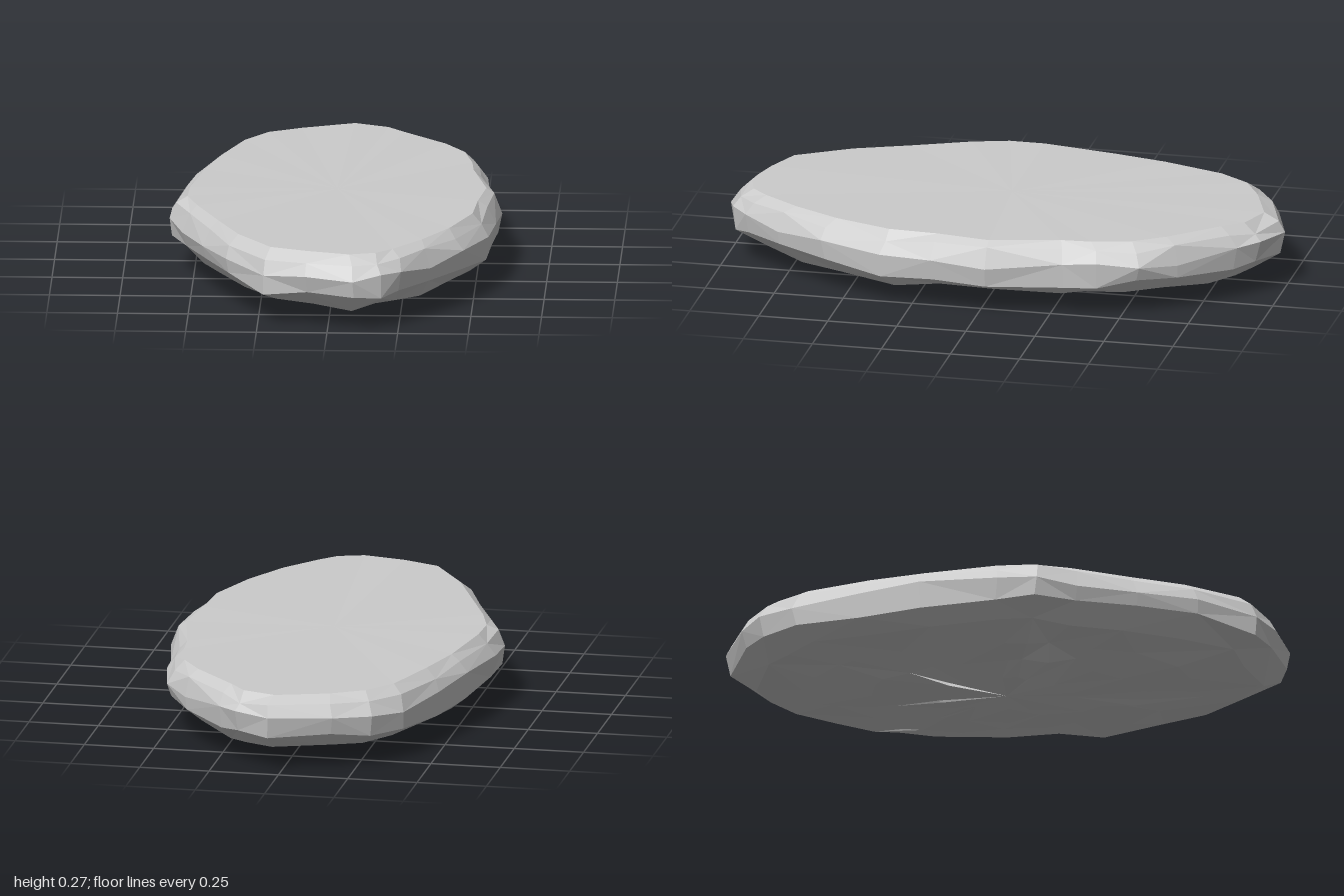
import * as THREE from 'three';

// plan outline (x, z), starting at the back and passing the +x side
const outline = [
  [0.04, -1], [0.17, -0.94], [0.24, -0.87], [0.4, -0.69], [0.49, -0.57], [0.52, -0.42], [0.53, -0.3],
  [0.585, -0.03], [0.57, 0.17], [0.55, 0.36], [0.47, 0.59], [0.36, 0.77], [0.26, 0.91], [0.19, 0.97],
  [0.09, 1], [-0.08, 0.96], [-0.23, 0.9], [-0.37, 0.7], [-0.46, 0.49], [-0.54, 0.28], [-0.59, 0.14],
  [-0.585, 0], [-0.54, -0.28], [-0.48, -0.5], [-0.4, -0.74], [-0.31, -0.86], [-0.18, -0.93],
];

// rings from top to bottom: height, inset in x, inset in z, sideways and vertical roughness
const rings = [
  [0.278, 0.065, 0.075, 0.006, 0.002],
  [0.25, 0.03, 0.03, 0.008, 0.01],
  [0.2, 0.002, 0.002, 0, 0.018],
  [0.13, 0.012, 0.015, 0.008, 0.018],
  [0.075, 0.085, 0.11, 0.015, 0.01],
  [0.05, 0.2, 0.3, 0.03, 0.014],
  [0.03, 0.33, 0.52, 0.03, 0.017],
  [0.022, 0.45, 0.75, 0.02, 0.014],
];

function seeded(seed) {
  return () => {
    seed = (seed * 16807) % 2147483647;
    return (seed / 2147483647) * 2 - 1;
  };
}

function stoneGeometry() {
  const rand = seeded(4211);
  const n = outline.length;
  const positions = [];
  const index = [];

  rings.forEach(([y, dx, dz, side, rough]) => {
    for (const [x, z] of outline) {
      positions.push(
        x * (1 - dx / 0.59) + rand() * side,
        Math.max(0, y + rand() * rough),
        z * (1 - dz) + rand() * side,
      );
    }
  });

  // faceted skin between neighbouring rings, diagonals alternating
  for (let r = 0; r < rings.length - 1; r++) {
    for (let i = 0; i < n; i++) {
      const j = (i + 1) % n;
      const a = r * n + i, b = r * n + j, c = a + n, d = b + n;
      if ((i + r) % 2) index.push(a, b, c, b, d, c);
      else index.push(a, b, d, a, d, c);
    }
  }

  // nearly flat top and rough underside closed with fans
  const top = rings.length * n;
  const bottom = top + 1;
  positions.push(0, 0.278, 0, 0, 0.012, 0);
  const last = (rings.length - 1) * n;
  for (let i = 0; i < n; i++) {
    const j = (i + 1) % n;
    index.push(top, j, i, bottom, last + i, last + j);
  }

  const geometry = new THREE.BufferGeometry();
  geometry.setAttribute('position', new THREE.Float32BufferAttribute(positions, 3));
  geometry.setIndex(index);
  const flat = geometry.toNonIndexed();
  flat.computeVertexNormals();
  return flat;
}

export function createModel() {
  const group = new THREE.Group();
  group.name = 'flatStone';
  const material = new THREE.MeshStandardMaterial({ color: 0xcccccc, flatShading: true });
  const stone = new THREE.Mesh(stoneGeometry(), material);
  stone.name = 'stoneSlab';
  group.add(stone);
  return group;
}
